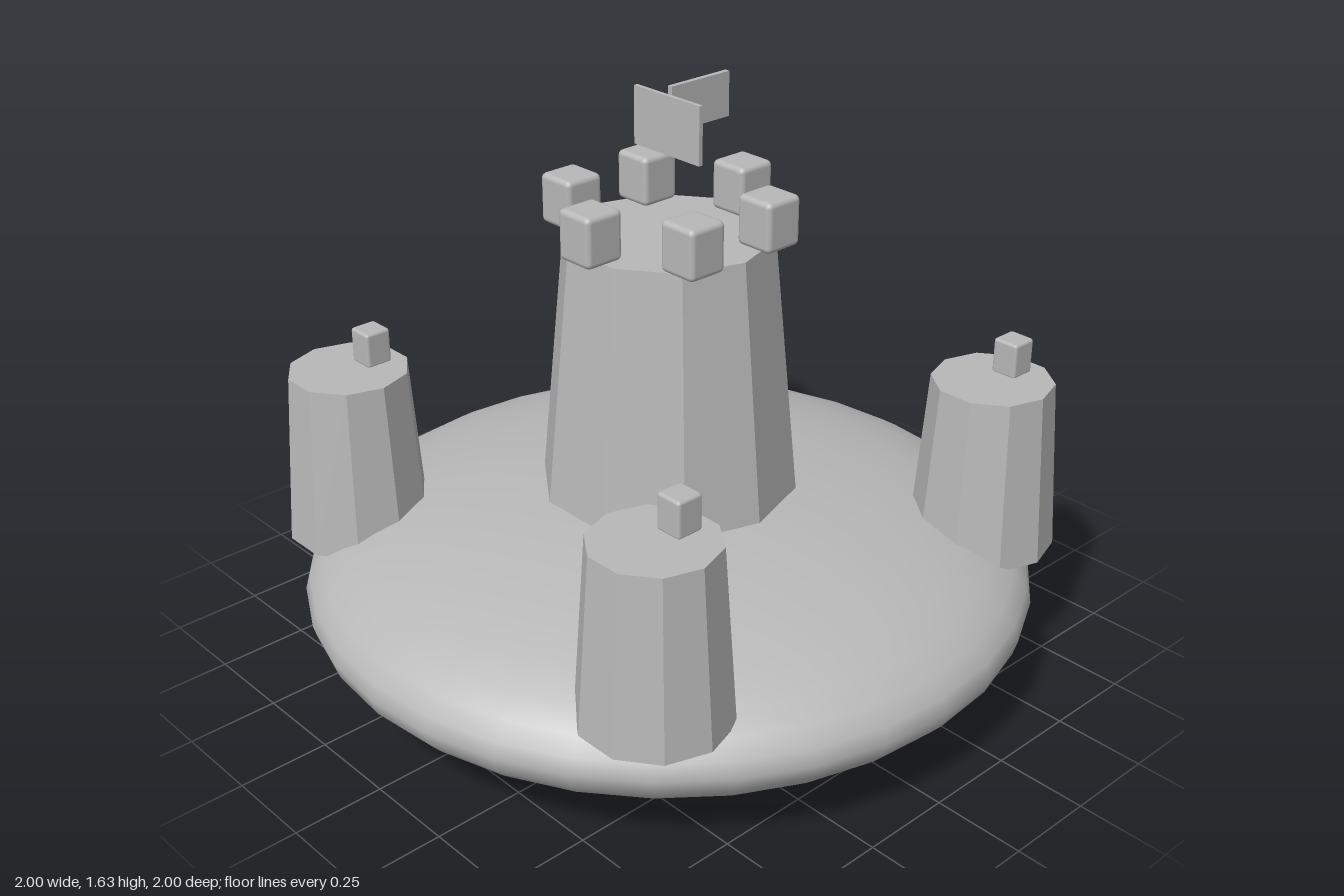
import * as THREE from 'three';
import { RoundedBoxGeometry } from 'three/addons/geometries/RoundedBoxGeometry.js';

export function createModel() {
  const model = new THREE.Group();
  model.name = 'floatingCastle';
  const stone = new THREE.MeshStandardMaterial({ color: 0xb8b8b8 });
  stone.name = 'stoneGrey';

  const add = (name, geometry, x, y, z) => {
    const mesh = new THREE.Mesh(geometry, stone);
    mesh.name = name;
    mesh.position.set(x, y, z);
    model.add(mesh);
  };

  // Ten-sided tapered tower with faceted walls, standing from y0 to y1
  const tower = (name, rTop, rBottom, y0, y1, x, z) => {
    const geometry = new THREE.CylinderGeometry(rTop, rBottom, y1 - y0, 10).toNonIndexed();
    geometry.computeVertexNormals();
    add(name, geometry, x, (y0 + y1) / 2, z);
  };

  // Flattened island base
  const island = new THREE.SphereGeometry(1, 32, 20);
  island.scale(1, 0.27, 1);
  add('islandBase', island, 0, 0.272, 0);

  // Central keep with a ring of six battlements
  tower('keep', 0.28, 0.35, 0.535, 1.25, 0, 0);
  for (let i = 0; i < 6; i++) {
    const a = (i * Math.PI) / 3;
    add('keepBattlement', new RoundedBoxGeometry(0.115, 0.136, 0.115, 2, 0.015),
      0.264 * Math.cos(a), 1.315, 0.264 * Math.sin(a));
  }

  // Four corner towers, each with one small battlement
  for (const sx of [-1, 1]) {
    for (const sz of [-1, 1]) {
      const x = sx * 0.608, z = sz * 0.608;
      tower('cornerTower', 0.164, 0.197, 0.365, 0.845, x, z);
      add('cornerBattlement', new RoundedBoxGeometry(0.076, 0.1, 0.076, 2, 0.009), x + 0.078, 0.89, z);
    }
  }

  // Crossed flag plates hovering above the keep
  add('flagCrossPlate', new THREE.BoxGeometry(0.012, 0.155, 0.24), -0.003, 1.538, 0);
  add('flag', new THREE.BoxGeometry(0.2, 0.12, 0.014), 0.104, 1.577, 0);

  return model;
}
